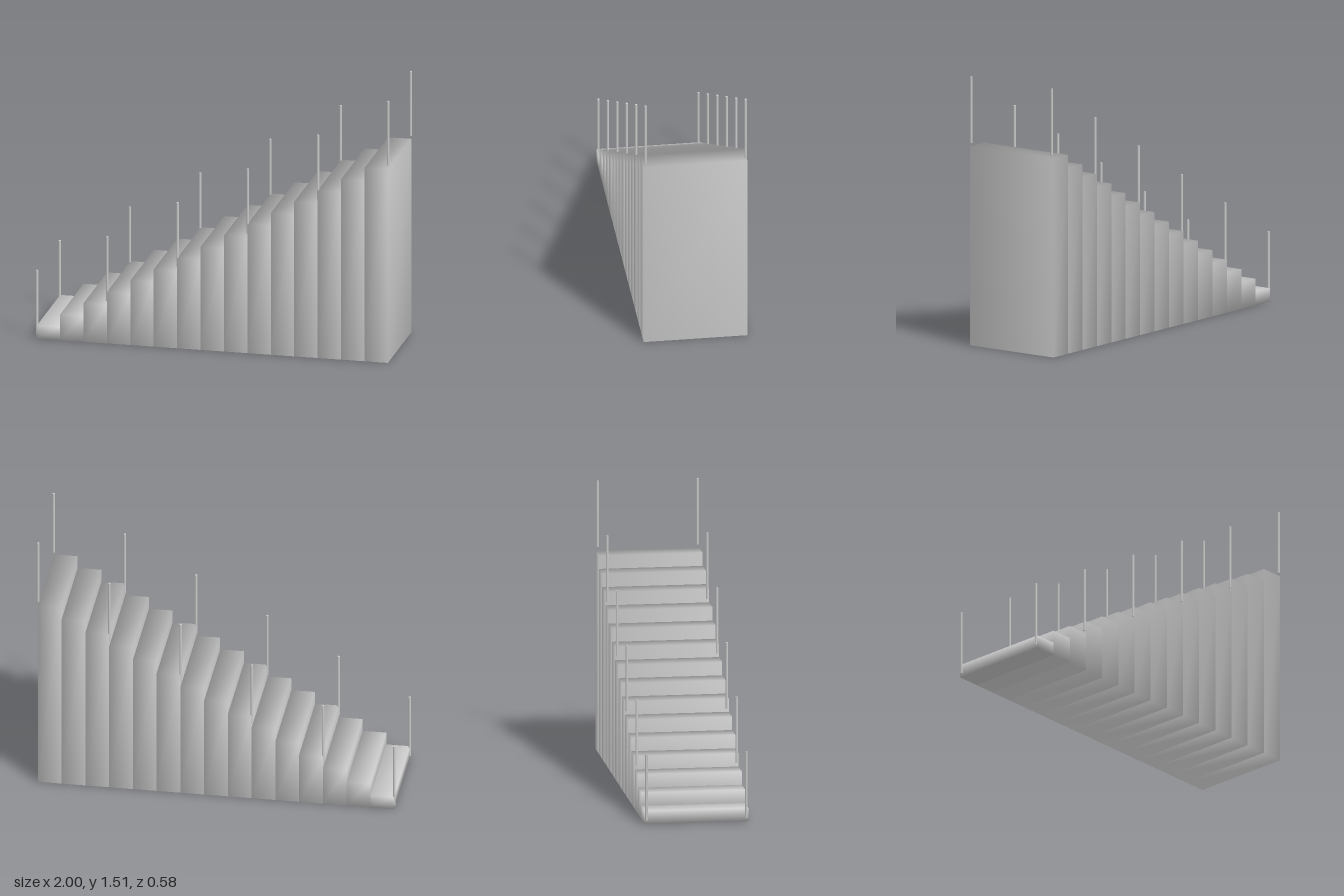
import * as THREE from 'three';
import { mergeVertices } from 'three/addons/utils/BufferGeometryUtils.js';

const STEPS = 15, RUN = 0.1324, RISE = 0.0745, WIDTH = 0.577;
const POSTS = 6, POST_HEIGHT = 0.372, POST_RADIUS = 0.007, POST_Z = 0.278;

// Box whose corners share one averaged normal, for soft shading
function softBox(w, h, d) {
  const box = new THREE.BoxGeometry(w, h, d);
  box.deleteAttribute('normal');
  box.deleteAttribute('uv');
  const geometry = mergeVertices(box);
  geometry.computeVertexNormals();
  return geometry;
}

export function createModel() {
  const model = new THREE.Group();
  model.name = 'staircase';
  const material = new THREE.MeshStandardMaterial({ color: 0xcccccc });
  const startX = -STEPS * RUN / 2;

  // Solid steps, each a full-height block rising toward +x
  const steps = new THREE.Group();
  steps.name = 'steps';
  for (let i = 0; i < STEPS; i++) {
    const height = (i + 1) * RISE;
    const step = new THREE.Mesh(softBox(RUN, height, WIDTH), material);
    step.name = 'step';
    step.position.set(startX + (i + 0.5) * RUN, height / 2, 0);
    steps.add(step);
  }
  model.add(steps);

  // Railing posts on both edges, one every three steps
  const postGeometry = new THREE.CylinderGeometry(POST_RADIUS, POST_RADIUS, POST_HEIGHT, 8);
  for (const side of [1, -1]) {
    const posts = new THREE.Group();
    posts.name = side > 0 ? 'frontRailingPosts' : 'backRailingPosts';
    for (let i = 0; i < POSTS; i++) {
      const post = new THREE.Mesh(postGeometry, material);
      post.name = 'railingPost';
      post.position.set(startX + i * 3 * RUN, 0.0205 + i * 3 * RISE + POST_HEIGHT / 2, side * POST_Z);
      posts.add(post);
    }
    model.add(posts);
  }
  return model;
}
